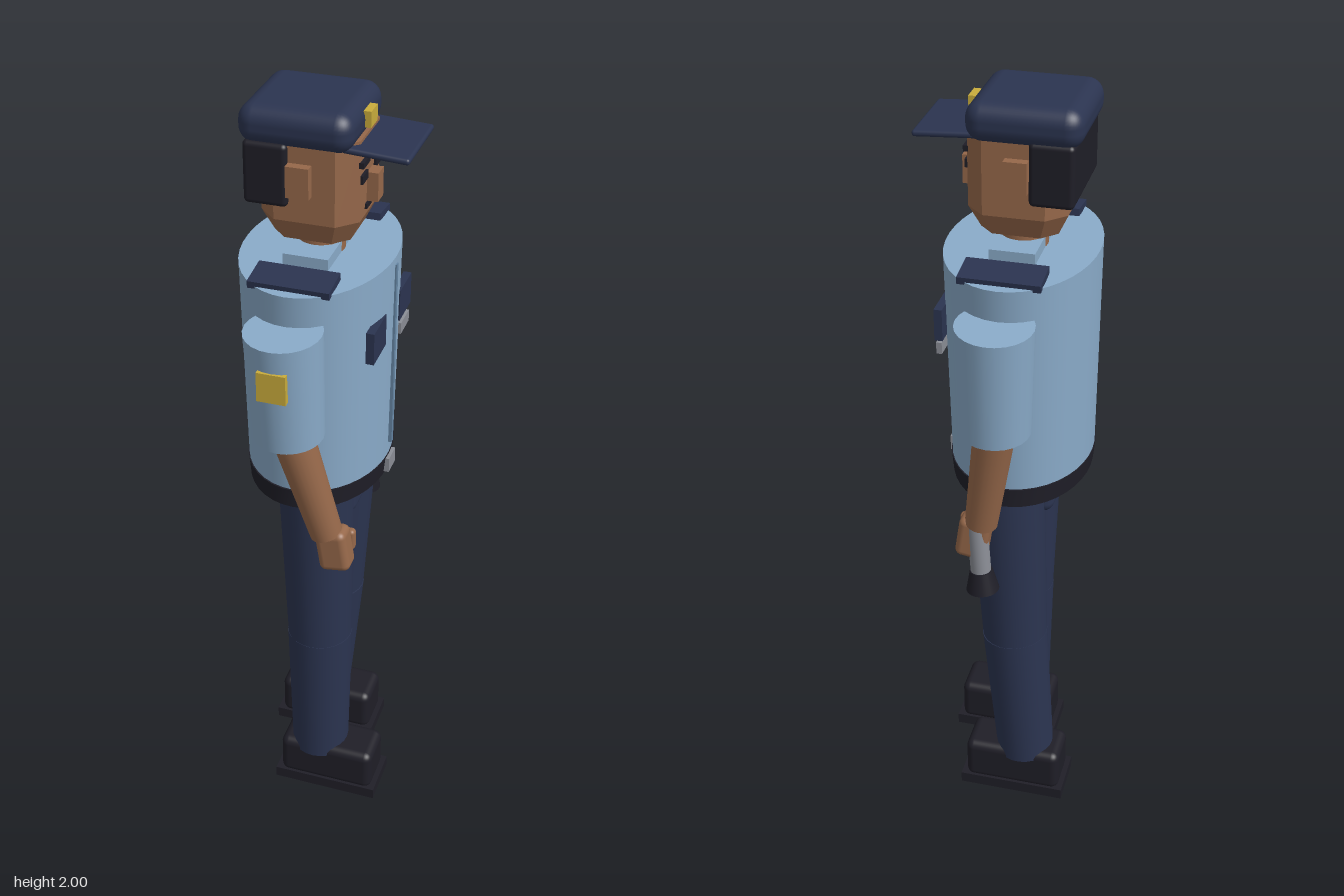
import * as THREE from 'three';
import { RoundedBoxGeometry } from 'three/addons/geometries/RoundedBoxGeometry.js';

const mat = (name, color) => {
  const m = new THREE.MeshStandardMaterial({ color });
  m.name = name;
  return m;
};

export function createModel() {
  const shirt = mat('light blue shirt', 0x8aabc9);
  const seam = mat('shirt seam blue', 0x6585a3);
  const navy = mat('navy cloth', 0x2b3450);
  const black = mat('black leather', 0x1f1e27);
  const skin = mat('brown skin', 0x96684a);
  const gold = mat('gold badge', 0xc9ac3c);
  const grey = mat('grey metal', 0x8b8e96);
  const faceted = mat('brown faceted skin', 0x96684a);
  faceted.flatShading = true;

  const root = new THREE.Group();
  root.name = 'officer';
  const body = new THREE.Group();
  body.name = 'body';
  body.rotation.y = THREE.MathUtils.degToRad(35);
  body.position.set(-0.004, 0, -0.0143);
  root.add(body);

  const add = (name, geo, material, x = 0, y = 0, z = 0) => {
    const mesh = new THREE.Mesh(geo, material);
    mesh.name = name;
    mesh.position.set(x, y, z);
    body.add(mesh);
    return mesh;
  };
  const box = (name, material, w, h, d, x, y, z) =>
    add(name, new THREE.BoxGeometry(w, h, d), material, x, y, z);
  const rounded = (name, material, w, h, d, r, x, y, z) =>
    add(name, new RoundedBoxGeometry(w, h, d, 4, r), material, x, y, z);

  // Tapered round limb between two points
  const limb = (name, material, from, to, r0, r1) => {
    const a = new THREE.Vector3(...from), b = new THREE.Vector3(...to);
    const dir = a.clone().sub(b);
    const mid = a.clone().add(b).multiplyScalar(0.5);
    const mesh = add(name, new THREE.CylinderGeometry(r0, r1, dir.length(), 24), material, mid.x, mid.y, mid.z);
    mesh.quaternion.setFromUnitVectors(new THREE.Vector3(0, 1, 0), dir.normalize());
    return mesh;
  };

  // Elliptical drum with separate half-widths and half-depths at each end
  const drum = (name, material, y0, y1, [a0, b0], [a1, b1]) => {
    const geo = new THREE.CylinderGeometry(1, 1, y1 - y0, 40);
    const p = geo.attributes.position;
    for (let i = 0; i < p.count; i++) {
      const top = p.getY(i) > 0;
      p.setX(i, p.getX(i) * (top ? a1 : a0));
      p.setZ(i, p.getZ(i) * (top ? b1 : b0));
    }
    geo.computeVertexNormals();
    return add(name, geo, material, 0, (y0 + y1) / 2, 0);
  };

  // Torso, belt and shirt details
  drum('shirt', shirt, 1.065, 1.625, [0.23, 0.178], [0.268, 0.184]);
  drum('belt', black, 1.02, 1.07, [0.234, 0.175], [0.235, 0.18]);
  box('buckle', grey, 0.055, 0.04, 0.016, 0, 1.047, 0.18);
  box('collar', shirt, 0.24, 0.035, 0.11, 0, 1.635, 0);
  box('placket', seam, 0.014, 0.5, 0.012, 0, 1.355, 0.181);
  box('nameTag', grey, 0.072, 0.03, 0.014, 0.108, 1.39, 0.174);
  rounded('hips', navy, 0.22, 0.11, 0.22, 0.03, 0, 0.975, 0.01);

  for (const s of [-1, 1]) {
    box('chestPocket', navy, 0.1, 0.082, 0.02, s * 0.109, 1.46, 0.17);
    const epaulette = box('epaulette', navy, 0.085, 0.018, 0.195, s * 0.2, 1.633, 0);
    epaulette.rotation.z = -s * 0.12;

    // Arms, left hand slightly further back
    const reach = s < 0 ? 0.11 : 0.07;
    const elbow = [s * 0.262, 1.26, 0.005];
    const wrist = [s * 0.237, 0.965, reach - 0.02];
    limb('sleeve', shirt, [s * 0.278, 1.545, 0], elbow, 0.093, 0.086);
    limb('forearm', skin, [s * 0.264, 1.3, 0], wrist, 0.053, 0.041);
    const hand = rounded('hand', skin, 0.065, 0.115, 0.08, 0.018, s * 0.231, 0.92, reach);
    hand.rotation.x = -0.15;
    rounded('thumb', skin, 0.025, 0.06, 0.028, 0.01, s * 0.2, 0.93, reach + 0.03);

    // Legs in a slight stride, right foot forward
    const foot = s < 0 ? 0.067 : -0.008;
    const shin = s < 0 ? 0.033 : -0.033;
    const knee = [s * 0.108, 0.53, (0.02 + shin) / 2 + 0.004];
    limb('thigh', navy, [s * 0.105, 1.03, 0.02], knee, 0.097, 0.086);
    limb('shin', navy, knee, [s * 0.112, 0.12, shin], 0.087, 0.078);
    rounded('shoe', black, 0.128, 0.125, 0.265, 0.022, s * 0.115, 0.084, foot);
    box('sole', black, 0.138, 0.032, 0.29, s * 0.115, 0.016, foot);
  }
  box('sleeveBadge', gold, 0.016, 0.075, 0.07, -0.363, 1.445, 0.002);

  // Torch held in the left hand
  limb('torchHandle', grey, [0.243, 0.97, 0.06], [0.246, 0.81, 0.05], 0.026, 0.026);
  limb('torchHead', black, [0.246, 0.825, 0.05], [0.248, 0.768, 0.046], 0.029, 0.042);

  // Head: chamfered block with a tapered chin
  limb('neck', skin, [0, 1.71, 0], [0, 1.62, 0], 0.056, 0.058);
  const w = 0.118, c = 0.045;
  const outline = [[w, w - c], [w - c, w], [c - w, w], [-w, w - c], [-w, c - w], [c - w, -w], [w - c, -w], [w, c - w]];
  const levels = [[1.68, 0.78], [1.735, 1], [1.93, 1]];
  const pos = [], idx = [];
  for (const [y, k] of levels) for (const [x, z] of outline) pos.push(x * k, y, z * k);
  for (let l = 0; l < 2; l++) for (let i = 0; i < 8; i++) {
    const a = l * 8 + i, b = l * 8 + (i + 1) % 8;
    idx.push(a, a + 8, b, b, a + 8, b + 8);
  }
  for (let i = 1; i < 7; i++) idx.push(0, i, i + 1, 16, 16 + i + 1, 16 + i);
  const headGeo = new THREE.BufferGeometry();
  headGeo.setAttribute('position', new THREE.Float32BufferAttribute(pos, 3));
  headGeo.setIndex(idx);
  headGeo.computeVertexNormals();
  add('head', headGeo, faceted, 0, 0, -0.003);

  // Face
  for (const s of [-1, 1]) {
    box('eye', black, 0.042, 0.02, 0.009, s * 0.052, 1.837, 0.117);
    box('eyebrow', black, 0.048, 0.014, 0.012, s * 0.052, 1.873, 0.118);
    box('ear', skin, 0.03, 0.075, 0.055, s * 0.125, 1.84, -0.012);
  }
  box('nose', skin, 0.042, 0.07, 0.032, 0, 1.8, 0.126);
  box('mouth', black, 0.07, 0.012, 0.009, 0, 1.757, 0.116);
  rounded('hair', black, 0.262, 0.15, 0.105, 0.012, 0, 1.846, -0.092);

  // Peaked cap
  rounded('cap', navy, 0.27, 0.093, 0.27, 0.04, 0.003, 1.9535, -0.026);
  const peak = rounded('capPeak', navy, 0.212, 0.015, 0.17, 0.007, 0, 1.913, 0.15);
  peak.rotation.x = 0.06;
  box('capBadge', gold, 0.05, 0.038, 0.018, 0.003, 1.96, 0.114);

  return root;
}
